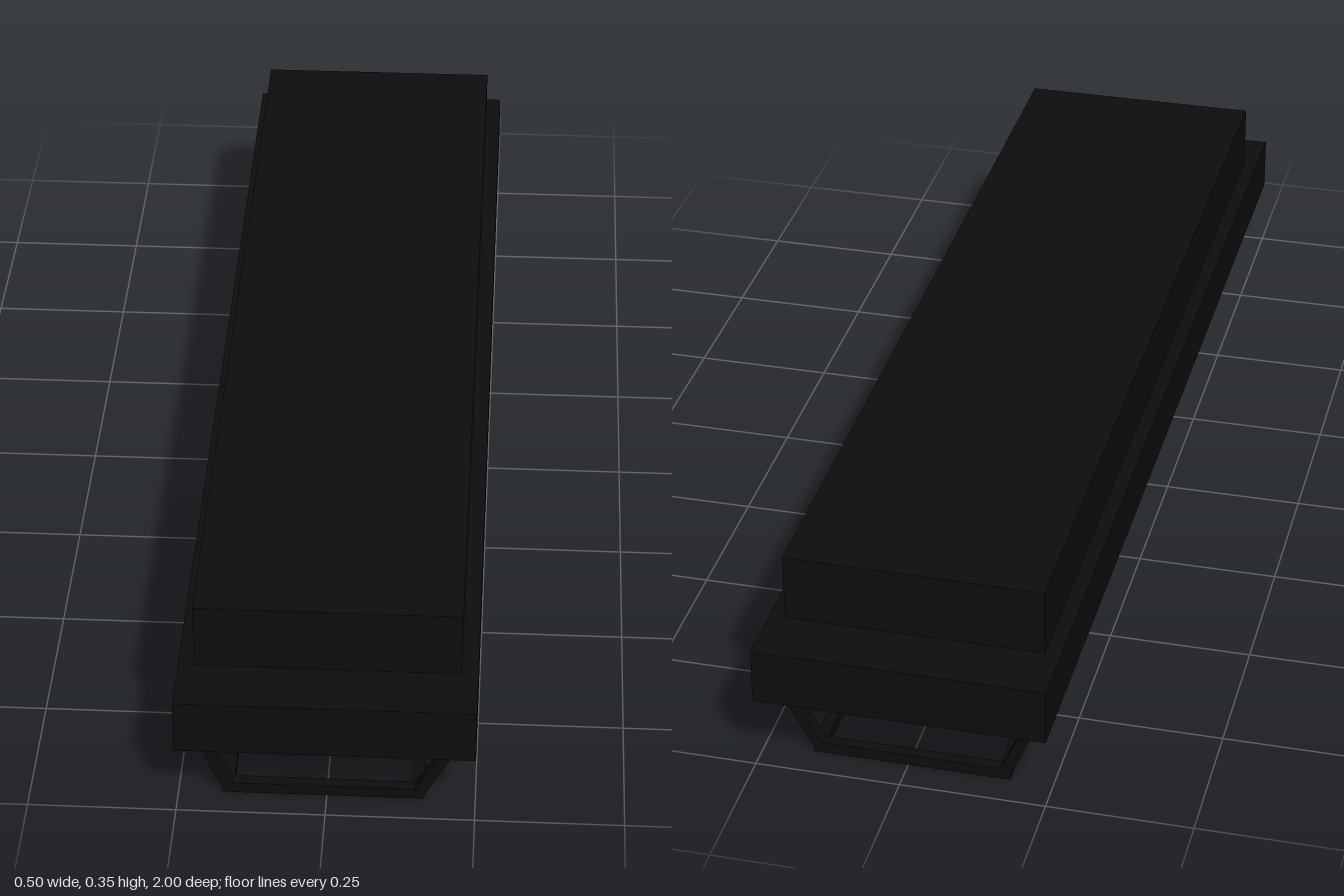
import * as THREE from 'three';

export function createModel() {
  const model = new THREE.Group();
  const material = new THREE.MeshStandardMaterial({ color: 0x0d0d0d, flatShading: true });

  function add(name, geometry, x, y, z) {
    const mesh = new THREE.Mesh(geometry, material);
    mesh.name = name;
    mesh.position.set(x, y, z);
    model.add(mesh);
    return mesh;
  }
  const box = (name, w, h, d, x, y, z) => add(name, new THREE.BoxGeometry(w, h, d), x, y, z);

  // Stepped housing
  box('housingTop', 0.446, 0.13, 1.79, 0, 0.285, 0.003);
  box('housingBase', 0.5, 0.1, 2, 0, 0.18, 0);

  // Two tubes with narrower end caps
  for (const x of [-0.107, 0.1]) {
    add('lampTube', new THREE.CylinderGeometry(0.049, 0.049, 1.8, 14).rotateX(Math.PI / 2), x, 0.108, 0.003);
    add('tubeEndCap', new THREE.CylinderGeometry(0.02, 0.02, 1.83, 10).rotateX(Math.PI / 2), x, 0.108, 0.004);
  }

  // Guard cage: sloping strut outline, slightly sunk into the housing
  const bar = 0.02;
  function strutGeometry(bottomX, topX) {
    const w = 0.0105;
    const shape = new THREE.Shape();
    shape.moveTo(bottomX - w, 0.01);
    shape.lineTo(bottomX + w, 0.01);
    shape.lineTo(topX + w, 0.135);
    shape.lineTo(topX - w, 0.135);
    shape.closePath();
    return new THREE.ExtrudeGeometry(shape, { depth: bar, bevelEnabled: false }).translate(0, 0, -bar / 2);
  }
  const rightStrut = strutGeometry(-0.166, -0.22);
  const leftStrut = strutGeometry(0.154, 0.223);

  // Hoops spaced along the cage
  for (const z of [0.94, 0.73, 0.49, 0.25, 0.01, -0.23, -0.47, -0.71, -0.934]) {
    add('rightCageStrut', rightStrut, 0, 0, z);
    add('leftCageStrut', leftStrut, 0, 0, z);
    box('cageCrossBar', 0.34, bar, bar, -0.006, bar / 2, z);
  }

  // Long bottom rails
  for (const x of [-0.166, 0.154]) box('cageRail', bar, bar, 1.894, x, bar / 2, 0.003);

  return model;
}
